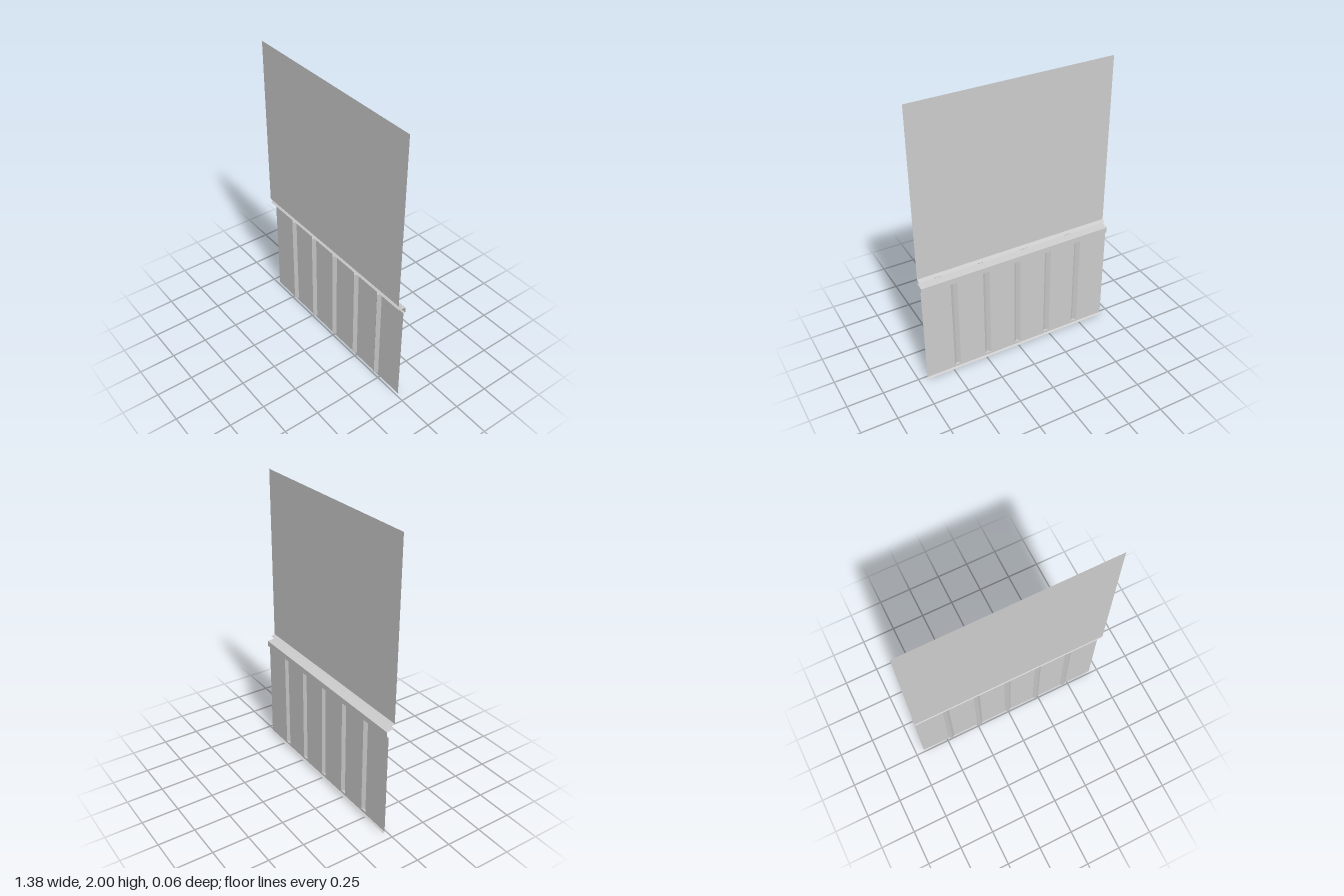
import * as THREE from 'three';

const HALF = 0.69;                       // half width of the wall
const PANEL_Z = -0.014, TIP_Z = 0.005;   // lower panel plane and groove bottom
const GROOVE = 0.023;                    // half width of a groove
const LOW = 0.023, HIGH = 0.727;         // groove ends
const centres = [-2, -1, 0, 1, 2].map(i => i * 0.231);

const material = new THREE.MeshStandardMaterial({
  color: 0xcccccc, flatShading: true, side: THREE.DoubleSide,
});

function surface(name, positions) {
  const geometry = new THREE.BufferGeometry();
  geometry.setAttribute('position', new THREE.Float32BufferAttribute(positions, 3));
  geometry.computeVertexNormals();
  const mesh = new THREE.Mesh(geometry, material);
  mesh.name = name;
  return mesh;
}

// Sweep an open [z, y] profile across the full width
function strip(name, profile) {
  const out = [];
  for (let i = 0; i < profile.length - 1; i++) {
    const [z0, y0] = profile[i], [z1, y1] = profile[i + 1];
    out.push(-HALF, y0, z0, -HALF, y1, z1, HALF, y1, z1);
    out.push(-HALF, y0, z0, HALF, y1, z1, HALF, y0, z0);
  }
  return surface(name, out);
}

// V-shaped channel with closed ends, pressed into the lower panel
function groove(x) {
  const l = x - GROOVE, r = x + GROOVE, out = [];
  const face = (xa, za, xb, zb) => out.push(
    xa, LOW, za, xb, LOW, zb, xb, HIGH, zb,
    xa, LOW, za, xb, HIGH, zb, xa, HIGH, za);
  face(l, PANEL_Z, x, TIP_Z);
  face(x, TIP_Z, r, PANEL_Z);
  out.push(l, LOW, PANEL_Z, r, LOW, PANEL_Z, x, LOW, TIP_Z);
  out.push(l, HIGH, PANEL_Z, x, HIGH, TIP_Z, r, HIGH, PANEL_Z);
  return surface('groove', out);
}

export function createModel() {
  const group = new THREE.Group();
  group.name = 'wainscotWall';

  // Plain upper wall
  group.add(strip('upperWall', [[0.028, 2], [0.028, 0.805]]));

  // Chair rail: sloped nose, undercut, sloped shoulder and flat band
  group.add(strip('chairRail', [
    [0.028, 0.805], [0, 0.796], [0.026, 0.774],
    [-0.028, 0.766], [-0.028, HIGH], [PANEL_Z, HIGH],
  ]));

  // Lower panel with openings where the grooves sit
  const shape = new THREE.Shape();
  shape.moveTo(-HALF, 0.006).lineTo(HALF, 0.006).lineTo(HALF, HIGH);
  for (const x of [...centres].reverse()) {
    shape.lineTo(x + GROOVE, HIGH).lineTo(x + GROOVE, LOW);
    shape.lineTo(x - GROOVE, LOW).lineTo(x - GROOVE, HIGH);
  }
  shape.lineTo(-HALF, HIGH);
  const panel = new THREE.Mesh(new THREE.ShapeGeometry(shape), material);
  panel.name = 'lowerPanel';
  panel.position.z = PANEL_Z;
  group.add(panel);

  for (const x of centres) group.add(groove(x));

  // Small flared lip along the bottom
  group.add(strip('bottomLip', [[PANEL_Z, 0.006], [-0.028, 0]]));

  return group;
}
